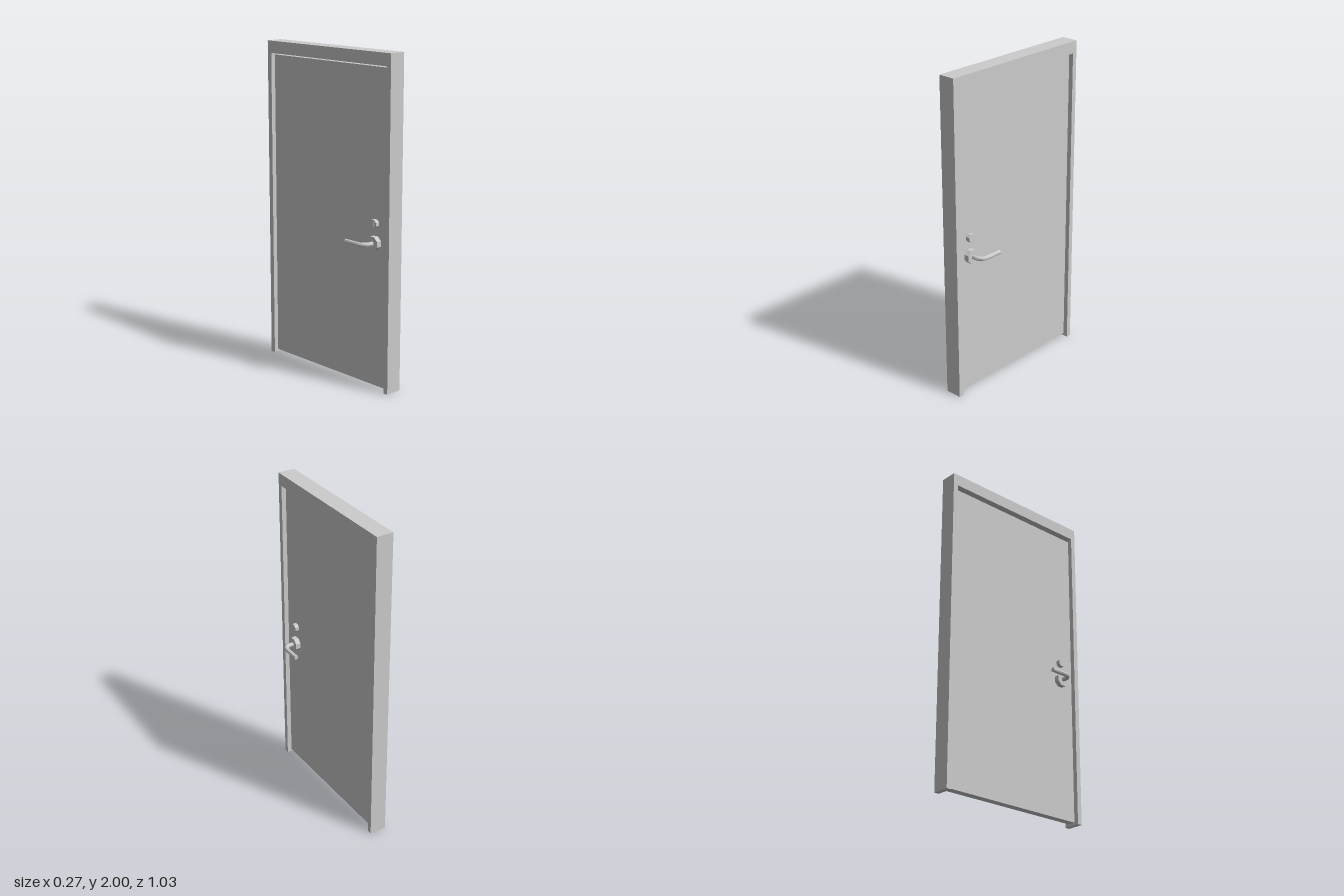
import * as THREE from 'three';

const grey = new THREE.MeshStandardMaterial({ color: 0xcccccc, flatShading: true });
const W = 0.513, H = 2, T = 0.106;      // frame half width, height, thickness
const IN = 0.482, HEAD = 1.926;         // opening half width and height
const DOOR = 0.024;                     // half thickness of the leaf
const HZ = 0.382, HY = 0.895, LOCKY = 1.01;

function add(parent, name, geometry, x = 0, y = 0, z = 0) {
  const mesh = new THREE.Mesh(geometry, grey);
  mesh.name = name;
  mesh.position.set(x, y, z);
  parent.add(mesh);
  return mesh;
}

// Octagonal disc whose axis runs along x, from x0 to x1
function disc(parent, name, radius, x0, x1, y) {
  const geo = new THREE.CylinderGeometry(radius, radius, x1 - x0, 8);
  geo.rotateY(Math.PI / 8).rotateZ(-Math.PI / 2);
  return add(parent, name, geo, (x0 + x1) / 2, y, HZ);
}

// Lever: straight neck, rounded bend, straight grip, with capped end
function lever(parent) {
  const X = 0.12, R = 0.042, END = 0.23, radius = 0.0135;
  const path = new THREE.CurvePath();
  const points = [new THREE.Vector3(DOOR, HY, HZ)];
  for (let i = 0; i <= 3; i++) {
    const a = (i / 3) * Math.PI / 2;
    points.push(new THREE.Vector3(X - R + R * Math.sin(a), HY, HZ - R + R * Math.cos(a)));
  }
  points.push(new THREE.Vector3(X, HY, END));
  for (let i = 1; i < points.length; i++) path.add(new THREE.LineCurve3(points[i - 1], points[i]));
  add(parent, 'lever', new THREE.TubeGeometry(path, 40, radius, 8, false));
  const cap = new THREE.CircleGeometry(radius, 8);
  cap.rotateY(Math.PI);
  add(parent, 'leverEnd', cap, X, HY, END);
}

function hardware(name) {
  const g = new THREE.Group();
  g.name = name;
  disc(g, 'rosette', 0.044, DOOR, 0.056, HY);
  lever(g);
  disc(g, 'lockCylinder', 0.027, DOOR, 0.05, LOCKY);
  add(g, 'keySlot', new THREE.BoxGeometry(0.002, 0.026, 0.007), 0.05, LOCKY, HZ);
  return g;
}

export function createModel() {
  const model = new THREE.Group();
  model.name = 'door';

  // Frame: two jambs and a head in one outline, open at the floor
  const outline = new THREE.Shape([
    [-W, 0], [-IN, 0], [-IN, HEAD], [IN, HEAD], [IN, 0], [W, 0], [W, H], [-W, H],
  ].map(([x, y]) => new THREE.Vector2(x, y)));
  const frame = new THREE.ExtrudeGeometry(outline, { depth: T, bevelEnabled: false });
  frame.translate(0, 0, -T / 2).rotateY(Math.PI / 2);
  add(model, 'frame', frame);

  // Leaf, with a clearance at the floor and under the head
  const bottom = 0.015, top = 1.915;
  add(model, 'leaf', new THREE.BoxGeometry(2 * DOOR, top - bottom, 2 * IN), 0, (top + bottom) / 2, 0);

  // Handle and lock on both faces; the second set is turned over to mirror it
  model.add(hardware('leftHardware'));
  const right = hardware('rightHardware');
  right.rotation.z = Math.PI;
  right.position.y = 2 * HY;
  // keep the lock above the lever
  for (const part of right.children) {
    if (part.name === 'lockCylinder' || part.name === 'keySlot') part.position.y = 2 * HY - LOCKY;
  }
  model.add(right);
  return model;
}
